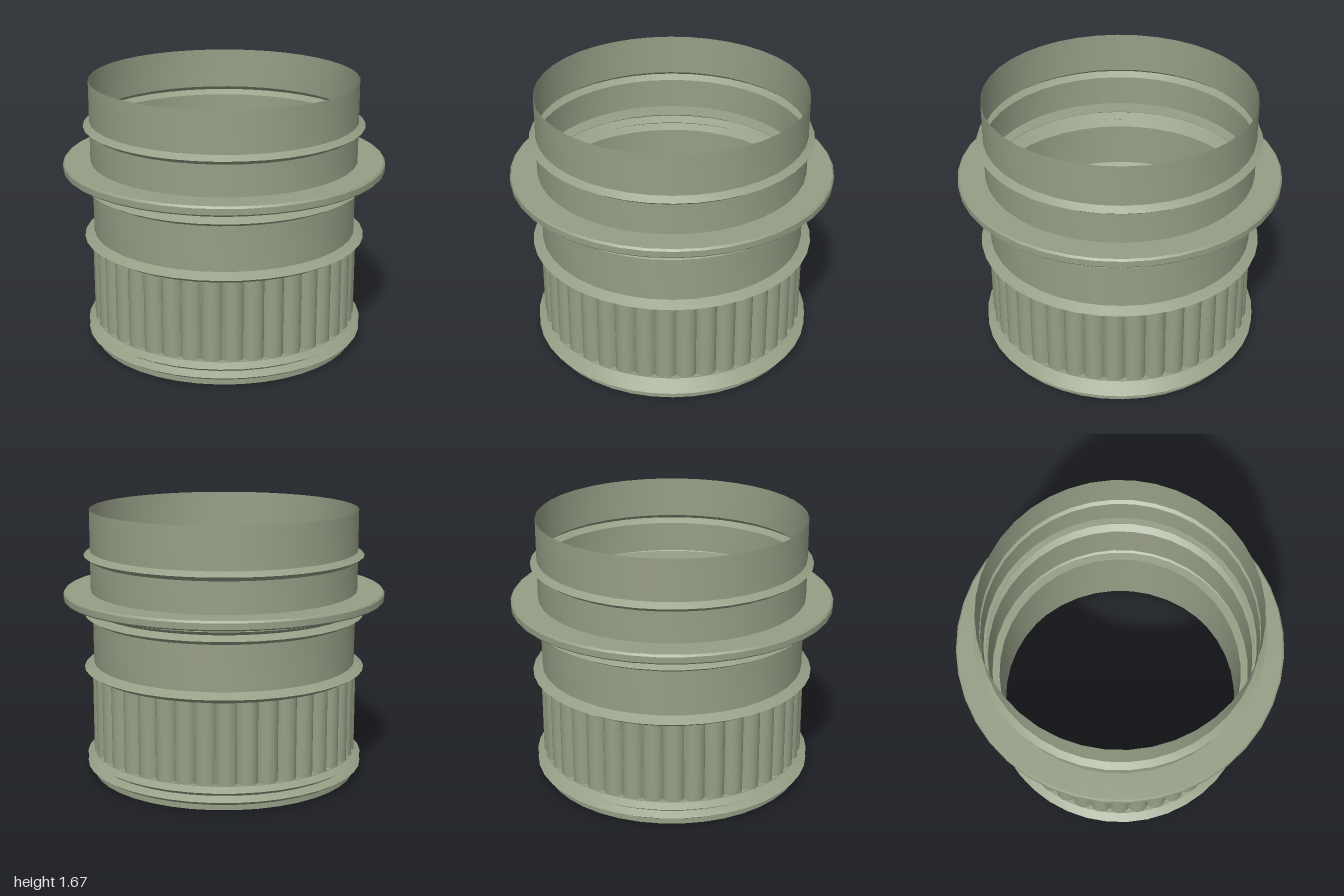
import * as THREE from 'three';
import { mergeGeometries, toCreasedNormals } from 'three/addons/utils/BufferGeometryUtils.js';

const SIDES = 40;

export function createModel() {
  const model = new THREE.Group();
  model.name = 'ribbedSleeve';
  const sage = new THREE.MeshStandardMaterial({ color: 0x969e86, side: THREE.DoubleSide });
  sage.name = 'sage green';

  const add = (name, geometry) => {
    const mesh = new THREE.Mesh(geometry, sage);
    mesh.name = name;
    model.add(mesh);
  };

  // Thin revolved wall: smooth around, sharp along the profile
  const wall = (name, profile) => {
    const points = profile.map(([r, y]) => new THREE.Vector2(r, y));
    add(name, toCreasedNormals(new THREE.LatheGeometry(points, SIDES), 0.4));
  };

  // V-shaped hollow rib bulging out of a wall
  const rib = (y, tip, root, half = 0.028) => [[root, y - half], [tip, y], [root, y + half]];

  // Bottom collar with two ribs and the inner ledge
  wall('bottomCollar', [
    [0.83, 0], ...rib(0.06, 0.872, 0.83, 0.027), ...rib(0.117, 0.872, 0.83, 0.027),
    [0.83, 0.148], [0.78, 0.148],
  ]);

  // Smooth lining behind the grip
  wall('gripLining', [[0.78, 0.148], [0.78, 0.65]]);

  // Fluted grip: shallow arcs repeated around the lining
  const arc = 1.14, radius = 0.068;
  const flutes = [];
  for (let i = 0; i < SIDES; i++) {
    const flute = new THREE.CylinderGeometry(radius, radius, 0.502, 8, 1, true, -arc, 2 * arc);
    flute.translate(0, 0.399, 0.832 - radius);
    flute.rotateY(((i + 0.5) / SIDES) * Math.PI * 2 + 0.016);
    flutes.push(flute);
  }
  add('flutedGrip', mergeGeometries(flutes));

  // Grip shoulder, neck and its paired ribs
  wall('neck', [
    [0.78, 0.65], [0.83, 0.65], [0.88, 0.68], [0.82, 0.712],
    ...rib(1.02, 0.872, 0.822), ...rib(1.076, 0.872, 0.822), [0.822, 1.108],
  ]);

  // Wide hollow flange with bevelled rim
  wall('flange', [
    [0.822, 1.108], [0.99, 1.108], [1, 1.118], [1, 1.155], [0.99, 1.167], [0.832, 1.167],
  ]);

  // Upper tube with a single rib and open top
  wall('upperTube', [[0.832, 1.167], ...rib(1.388, 0.872, 0.832), [0.832, 1.67]]);

  return model;
}
